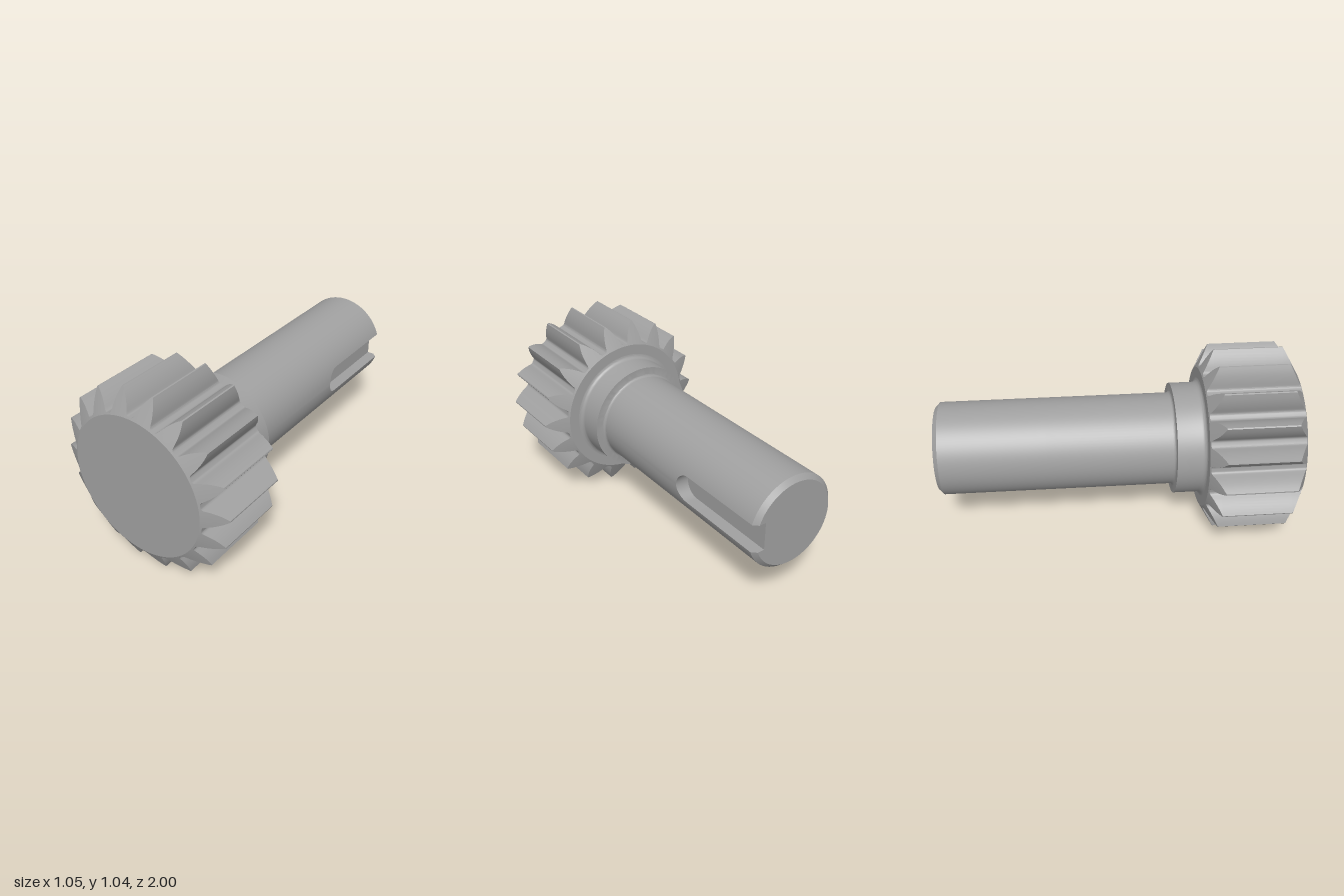
import * as THREE from 'three';
import { toCreasedNormals } from 'three/addons/utils/BufferGeometryUtils.js';

const AXIS_Y = 0.519; // height of the shaft axis
const CREASE = 0.48;
const material = new THREE.MeshStandardMaterial({ color: 0xa0a0a0 });

// Skins counter-clockwise cross-sections, ordered by rising z, and caps chosen ends.
function loft(slices, capStart, capEnd) {
  const n = slices[0].length;
  const positions = slices.flat().flatMap((p) => [p.x, p.y, p.z]);
  const radius = (p) => Math.hypot(p.x, p.y);
  const index = [];
  for (let k = 0; k < slices.length - 1; k++) {
    for (let i = 0; i < n; i++) {
      const j = (i + 1) % n;
      const a = k * n + i, b = k * n + j, c = b + n, d = a + n;
      const ac = radius(slices[k][i]) + radius(slices[k + 1][j]);
      const bd = radius(slices[k][j]) + radius(slices[k + 1][i]);
      // The diagonal runs through the outermost corner, keeping chamfer edges crisp
      if (ac >= bd) index.push(a, b, c, a, c, d);
      else index.push(a, b, d, b, c, d);
    }
  }
  const addCap = (k, flip) => {
    const outline = slices[k].map((p) => new THREE.Vector2(p.x, p.y));
    for (const [a, b, c] of THREE.ShapeUtils.triangulateShape(outline, [])) {
      const o = k * n;
      if (flip) index.push(o + a, o + c, o + b);
      else index.push(o + a, o + b, o + c);
    }
  };
  if (capStart) addCap(0, true);
  if (capEnd) addCap(slices.length - 1, false);
  const geometry = new THREE.BufferGeometry();
  geometry.setAttribute('position', new THREE.Float32BufferAttribute(positions, 3));
  geometry.setIndex(index);
  return toCreasedNormals(geometry, CREASE);
}

// Gear: 18 pointed teeth, with conical chamfers at both ends
function gearGeometry() {
  const teeth = 18;
  const zBack = 0.475, zFront = 1, chamferLength = 0.07;
  const rFace = 0.4, rTip = 0.527;
  // Half a tooth: degrees from its centre line, radius
  const half = [
    [0, rTip], [0.4, rTip], [1.3, 0.515], [2.4, 0.5], [3.4, 0.485], [4.3, 0.47],
    [5.15, 0.455], [5.9, 0.44], [6.6, 0.425], [7, 0.418], [7.5, 0.413],
    [8, 0.4105], [8.8, 0.4095], [10, 0.4095],
  ];
  const tooth = [
    ...half.slice(1).reverse().map(([a, r]) => [-a, r]),
    ...half.slice(0, -1),
  ];
  const outline = [];
  for (let t = 0; t < teeth; t++) {
    for (const [a, r] of tooth) {
      outline.push([THREE.MathUtils.degToRad(a + (t * 360) / teeth), r]);
    }
  }
  const slice = (z, limit) => outline.map(([a, r]) => {
    const q = Math.min(r, limit);
    return new THREE.Vector3(q * Math.cos(a), q * Math.sin(a), z);
  });
  const limits = [...new Set([rFace, ...half.map((p) => p[1])])].sort((a, b) => a - b);
  const inset = (r) => ((r - rFace) / (rTip - rFace)) * chamferLength;
  return loft([
    ...limits.map((r) => slice(zBack + inset(r), r)),
    ...limits.slice().reverse().map((r) => slice(zFront - inset(r), r)),
  ], true, true);
}

// Shaft: chamfered rear end and a round-ended keyway on the +x side
function shaftGeometry() {
  const R = 0.261, rEnd = 0.236, floor = 0.183;
  const slotHalf = 0.08, slotTip = -0.39, segments = 96;
  const slice = (z, r, w) => {
    const lip = Math.asin(w / r);
    const points = [new THREE.Vector3(floor, w, z)];
    for (let i = 0; i <= segments; i++) {
      // Points inside the slot gather at its lip, the others keep their angle
      const a = THREE.MathUtils.clamp((i / segments) * Math.PI * 2, lip, Math.PI * 2 - lip);
      points.push(new THREE.Vector3(r * Math.cos(a), r * Math.sin(a), z));
    }
    points.push(new THREE.Vector3(floor, -w, z));
    return points;
  };
  const slices = [slice(-1, rEnd, slotHalf), slice(-0.975, R, slotHalf)];
  const steps = 12;
  for (let i = 0; i <= steps; i++) {
    const a = (i / steps) * Math.PI / 2;
    const w = i === steps ? 0 : slotHalf * Math.cos(a);
    slices.push(slice(slotTip - slotHalf + slotHalf * Math.sin(a), R, w));
  }
  slices.push(slice(0.3, R, 0));
  return loft(slices, true, false);
}

// Collar: shoulder between shaft and gear, with a fillet at each foot
function collarGeometry() {
  const profile = [];
  const fillet = (r, z, size) => {
    for (let i = 0; i <= 6; i++) {
      const a = Math.PI * (1 - i / 12);
      profile.push(new THREE.Vector2(r + size * Math.cos(a), z + size * Math.sin(a)));
    }
  };
  fillet(0.276, 0.3, 0.015);
  profile.push(new THREE.Vector2(0.315, 0.315));
  fillet(0.34, 0.45, 0.025);
  const geometry = new THREE.LatheGeometry(profile, 96);
  geometry.rotateX(Math.PI / 2);
  return toCreasedNormals(geometry, CREASE);
}

export function createModel() {
  const group = new THREE.Group();
  group.name = 'pinionShaft';
  const parts = { gear: gearGeometry(), collar: collarGeometry(), shaft: shaftGeometry() };
  for (const [name, geometry] of Object.entries(parts)) {
    const mesh = new THREE.Mesh(geometry, material);
    mesh.name = name;
    mesh.position.y = AXIS_Y;
    group.add(mesh);
  }
  return group;
}
